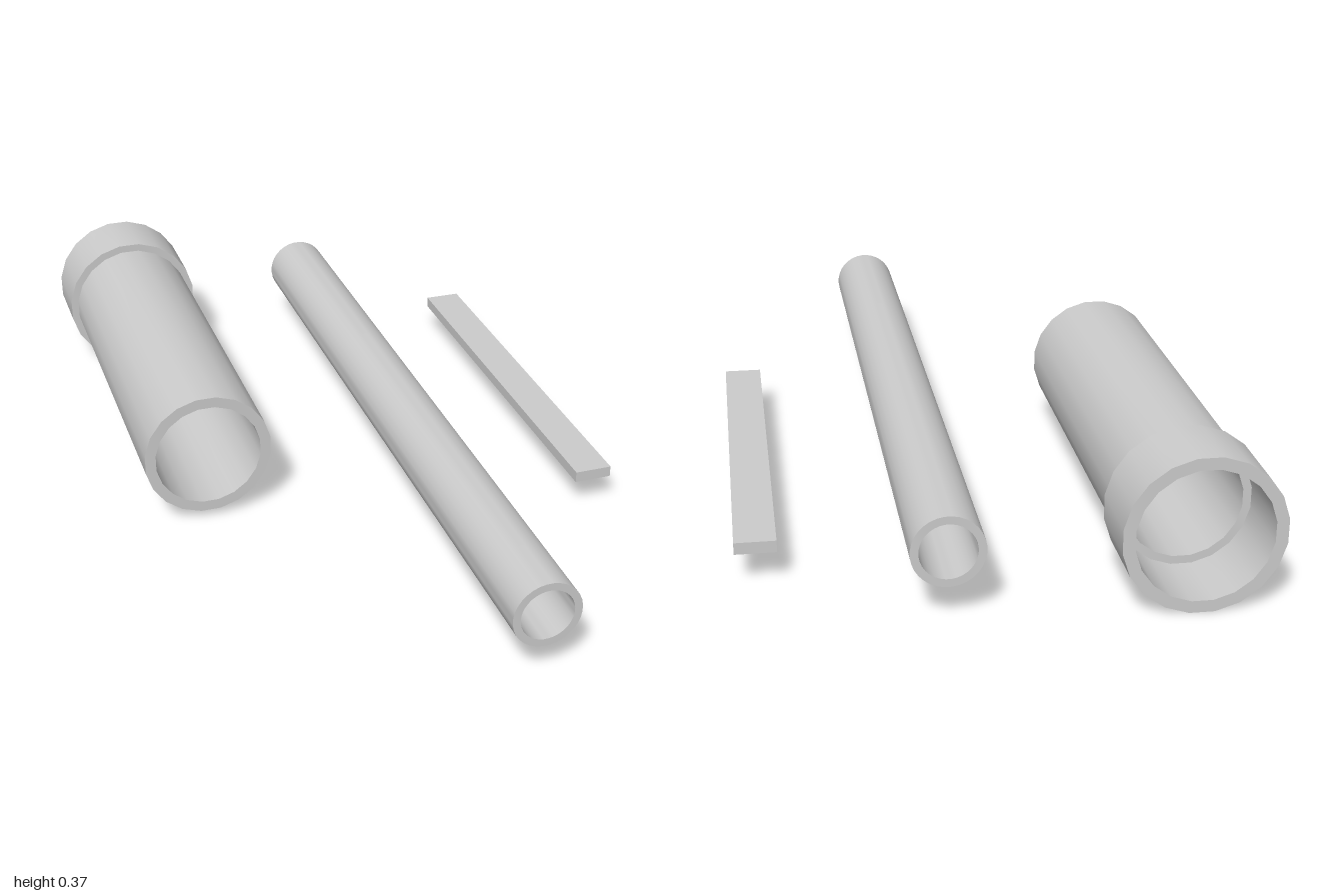
import * as THREE from 'three';
import { toCreasedNormals } from 'three/addons/utils/BufferGeometryUtils.js';

const material = new THREE.MeshStandardMaterial({ color: 0xcccccc });

// Turns a closed [radius, z] profile around the z axis, with a flat facet on top.
function turned(name, profile, sides, x, y) {
  const points = [...profile, profile[0]].map(([r, z]) => new THREE.Vector2(r, z));
  const lathe = new THREE.LatheGeometry(points, sides, Math.PI / sides);
  lathe.rotateX(Math.PI / 2);
  const mesh = new THREE.Mesh(toCreasedNormals(lathe, 0.6), material);
  mesh.name = name;
  mesh.position.set(x, y, 0);
  return mesh;
}

export function createModel() {
  const group = new THREE.Group();
  group.name = 'pipesAndStrip';

  // Wide pipe with a flared socket at the back and a ledge inside it
  group.add(turned('socketPipe', [
    [0.188, -1], [0.188, -0.82], [0.167, -0.82], [0.167, 0.13],
    [0.139, 0.13], [0.139, -0.82], [0.159, -0.82], [0.159, -1],
  ], 20, -0.417, 0.187));

  // Long narrow pipe, open at both ends
  group.add(turned('narrowPipe', [
    [0.085, -0.953], [0.085, 1], [0.066, 1], [0.066, -0.953],
  ], 32, 0.142, 0.166));

  // Flat strip
  const strip = new THREE.Mesh(new THREE.BoxGeometry(0.098, 0.029, 1.107), material);
  strip.name = 'flatStrip';
  strip.position.set(0.553, 0.091, -0.171);
  group.add(strip);

  return group;
}
